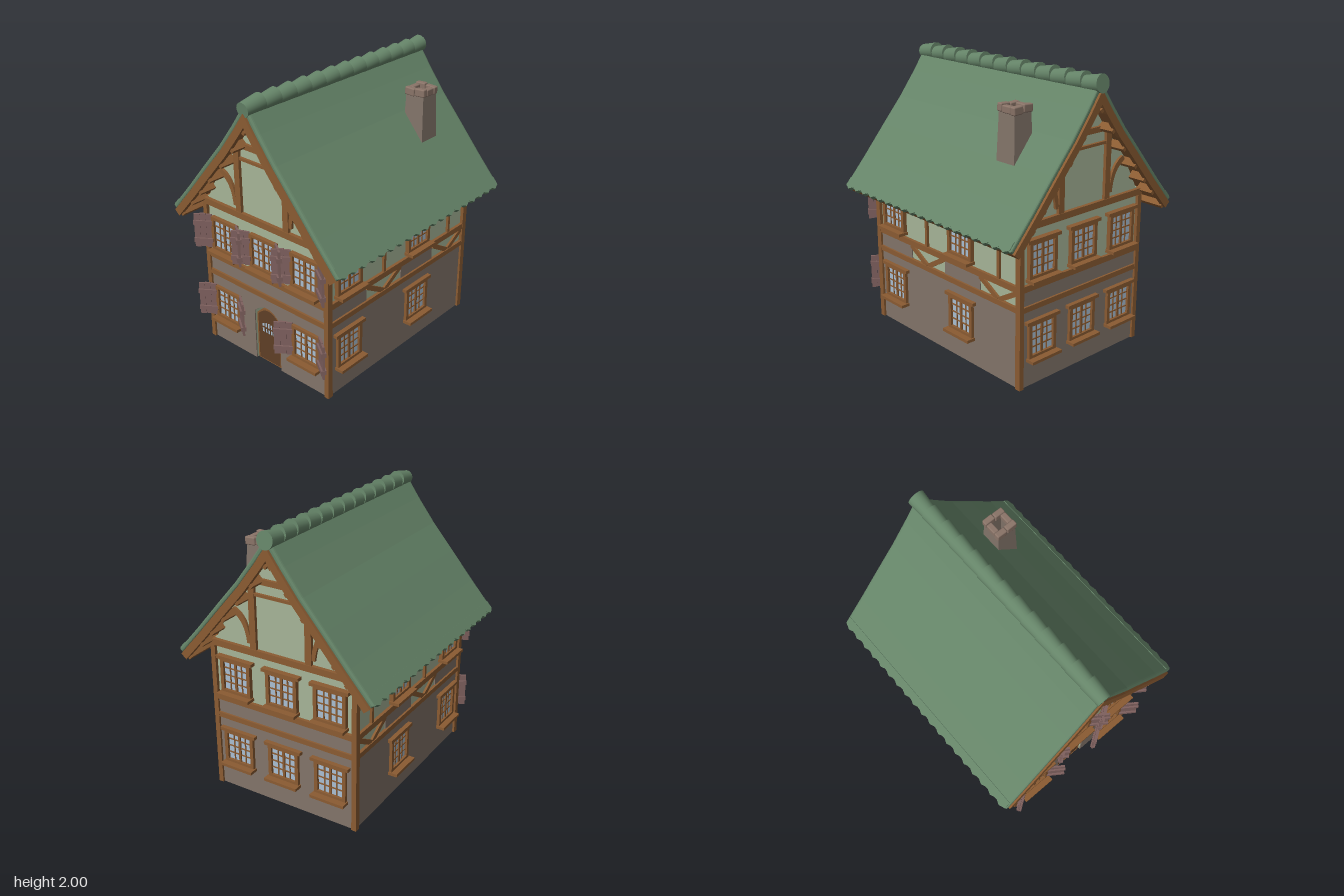
import * as THREE from 'three';
import { RoundedBoxGeometry } from 'three/addons/geometries/RoundedBoxGeometry.js';

const mat = (name, color, side = THREE.FrontSide) =>
  Object.assign(new THREE.MeshStandardMaterial({ color, side }), { name });
const M = {
  roof: mat('roofGreen', 0x658468),
  plaster: mat('plaster', 0xa6b497),
  stone: mat('stone', 0x827469, THREE.DoubleSide),
  brick: mat('chimneyBrick', 0x8a7468),
  wood: mat('timber', 0x8a5b32),
  door: mat('doorWood', 0x5f3f26),
  shutter: mat('shutterWood', 0x7e605e),
  glass: mat('glass', 0xa9bfd2),
};

function add(parent, name, geo, m, x = 0, y = 0, z = 0) {
  const mesh = new THREE.Mesh(geo, m);
  mesh.name = name;
  mesh.position.set(x, y, z);
  parent.add(mesh);
  return mesh;
}
// Box given by its extents
const box = (p, name, m, x0, x1, y0, y1, z0, z1) =>
  add(p, name, new THREE.BoxGeometry(x1 - x0, y1 - y0, z1 - z0), m, (x0 + x1) / 2, (y0 + y1) / 2, (z0 + z1) / 2);
const slab = (shape, depth, opts = {}) =>
  new THREE.ExtrudeGeometry(shape, { depth, bevelEnabled: false, curveSegments: 10, ...opts });

// Right half of the roof outline, ridge to eave
const PROFILE = [[0, 1.96], [0.12, 1.79], [0.25, 1.62], [0.41, 1.435], [0.58, 1.235], [0.753, 1.04]]
  .map(([x, y]) => new THREE.Vector2(x, y));

// The outline moved inwards by d
function inset(d) {
  return PROFILE.map((p, i) => {
    if (i === 0) return new THREE.Vector2(0, p.y - d * 1.74);
    const t = PROFILE[Math.min(i + 1, PROFILE.length - 1)].clone().sub(PROFILE[i - 1]).normalize();
    return new THREE.Vector2(p.x + t.y * d, p.y - t.x * d);
  });
}
const mirrored = (pts) => [...pts.slice(1).reverse().map((p) => new THREE.Vector2(-p.x, p.y)), ...pts];
// Roof layer between two depths, over both slopes
const chevron = (d0, d1) => new THREE.Shape([...mirrored(inset(d0)), ...mirrored(inset(d1)).reverse()]);

// Point and slope angle on the roof outline at a given x
function roofAt(x) {
  const i = Math.max(1, PROFILE.findIndex((p) => p.x >= x));
  const a = PROFILE[i - 1], b = PROFILE[i];
  const t = (x - a.x) / (b.x - a.x);
  return { y: a.y + (b.y - a.y) * t, angle: Math.atan2(b.y - a.y, b.x - a.x) };
}

// Gable wall outline, optionally with the door arch cut out
function wallShape(w, top, withDoor, gable) {
  const s = new THREE.Shape().moveTo(-w, 0);
  if (withDoor) s.lineTo(-0.12, 0).lineTo(-0.12, 0.39).quadraticCurveTo(0, 0.525, 0.12, 0.39).lineTo(0.12, 0);
  s.lineTo(w, 0).lineTo(w, top);
  if (gable) {
    const pts = mirrored(inset(0.045).filter((p) => p.x < w)).reverse();
    pts.forEach((p) => s.lineTo(p.x, p.y));
  }
  s.lineTo(-w, top);
  return s;
}

function makeShutter(side) {
  const g = new THREE.Group();
  g.name = 'shutter';
  for (let i = 0; i < 3; i++) {
    const x = side * (0.021 + i * 0.042), j = i === 1 ? 0.005 : 0;
    box(g, 'shutterPlank', M.shutter, x - 0.0205, x + 0.0205, 0.01 + j, 0.262 + j, 0, 0.014);
  }
  for (const y of [0.065, 0.2])
    box(g, 'shutterBatten', M.shutter, side * 0.063 - 0.066, side * 0.063 + 0.066, y - 0.016, y + 0.016, -0.01, 0.026);
  g.position.set(side * 0.123, 0, 0.015);
  g.rotation.y = -side * 0.6;
  return g;
}

// Window on a facade; y is the top of the sill
function addWindow(wall, x, y, shutters) {
  const g = new THREE.Group();
  g.name = 'window';
  g.position.set(x, y, 0);
  box(g, 'pane', M.glass, -0.1, 0.1, 0.02, 0.235, -0.046, 0.012);
  for (const s of [-1, 1]) {
    box(g, 'windowJamb', M.wood, s * 0.108 - 0.013, s * 0.108 + 0.013, 0, 0.25, -0.055, 0.03);
    box(g, 'mullion', M.wood, s * 0.047 - 0.004, s * 0.047 + 0.004, 0.02, 0.235, -0.05, 0.018);
  }
  box(g, 'mullion', M.wood, -0.009, 0.009, 0.02, 0.235, -0.052, 0.022);
  for (const h of [0.075, 0.128, 0.181])
    box(g, 'glazingBar', M.wood, -0.097, 0.097, h - 0.004, h + 0.004, -0.05, 0.018);
  box(g, 'windowHead', M.wood, -0.12, 0.12, 0.228, 0.25, -0.055, 0.03);
  box(g, 'windowRail', M.wood, -0.12, 0.12, 0, 0.022, -0.055, 0.03);
  box(g, 'sill', M.wood, -0.13, 0.13, -0.018, 0.003, -0.06, 0.075);
  if (shutters) g.add(makeShutter(-1), makeShutter(1));
  else box(g, 'lintel', M.wood, -0.145, 0.145, 0.245, 0.268, -0.02, 0.04);
  wall.add(g);
}

// Facade whose local z = 0 is the outer plaster surface
function facade(root, name, turn, dist) {
  const g = new THREE.Group();
  g.name = name;
  g.rotation.y = turn;
  g.position.set(Math.sin(turn) * dist, 0, Math.cos(turn) * dist);
  root.add(g);
  return g;
}

function floorBeams(g, w) {
  box(g, 'upperFloorBeam', M.wood, -w, w, 0.674, 0.716, -0.05, 0.022);
  box(g, 'lowerFloorBeam', M.wood, -w, w, 0.536, 0.573, -0.05, 0.022);
}

function gableWall(root, name, turn, isFront) {
  const g = facade(root, name, turn, 0.74);
  add(g, 'plasterWall', slab(wallShape(0.545, 1.1, isFront, true), 0.04), M.plaster, 0, 0, -0.04);
  add(g, 'stoneFacing', slab(wallShape(0.54, 0.54, isFront, false), 0.008), M.stone);
  box(g, 'stoneBand', M.stone, -0.54, 0.54, 0.57, 0.68, 0, 0.008);
  floorBeams(g, 0.56);
  box(g, 'gableBeam', M.wood, -0.568, 0.568, 1.08, 1.125, -0.05, 0.026);
  // Timbers inside the gable
  box(g, 'collarBeam', M.wood, -0.19, 0.19, 1.503, 1.522, 0, 0.02);
  box(g, 'upperCollar', M.wood, -0.15, 0.15, 1.59, 1.628, 0, 0.022);
  box(g, 'kingPost', M.wood, -0.01, 0.01, 1.62, 1.86, 0, 0.018);
  for (const s of [-1, 1]) {
    box(g, 'gablePost', M.wood, s * 0.213 - 0.024, s * 0.213 + 0.024, 1.12, 1.58, 0, 0.022);
    const brace = new THREE.Shape().moveTo(s * 0.235, 1.16)
      .quadraticCurveTo(s * 0.245, 1.35, s * 0.36, 1.39)
      .lineTo(s * 0.385, 1.36).quadraticCurveTo(s * 0.275, 1.32, s * 0.262, 1.16);
    add(g, 'curvedBrace', slab(brace, 0.018), M.wood);
  }
  for (const x of [-0.37, 0, 0.37]) {
    addWindow(g, x, 0.75, isFront);
    if (!isFront || x) addWindow(g, x, 0.2, isFront);
  }
  return g;
}

function sideWall(root, name, s) {
  const g = facade(root, name, s * Math.PI / 2, 0.545);
  const at = (z) => -s * z;
  box(g, 'plasterWall', M.plaster, -0.735, 0.735, 0, 1.13, -0.04, 0);
  box(g, 'stoneFacing', M.stone, -0.735, 0.735, 0, 0.54, 0, 0.008);
  floorBeams(g, 0.75);
  box(g, 'wallPlate', M.wood, -0.75, 0.75, 1.08, 1.12, -0.05, 0.022);
  for (const z of [0.545, -0.185])
    box(g, 'stoneBand', M.stone, at(z) - 0.18, at(z) + 0.18, 0.57, 0.68, 0, 0.008);
  for (const z of [0.185, -0.55]) {
    box(g, 'wallPost', M.wood, at(z) - 0.011, at(z) + 0.011, 0.71, 1.1, 0, 0.018);
    for (const t of [-1, 1]) {
      const bar = add(g, 'diagonalBrace', new THREE.BoxGeometry(0.2, 0.034, 0.016), M.wood, at(z) + t * 0.093, 0.622, 0.008);
      bar.rotation.z = t * 0.53;
    }
  }
  for (const z of [0.55, -0.18]) for (const y of [0.2, 0.75]) addWindow(g, at(z), y, false);
}

function addDoor(front) {
  const g = new THREE.Group();
  g.name = 'door';
  const arch = (w, base, spring, top) => new THREE.Shape().moveTo(-w, base).lineTo(w, base)
    .lineTo(w, spring).quadraticCurveTo(0, 2 * top - spring, -w, spring);
  const frame = arch(0.111, 0.006, 0.375, 0.438);
  frame.holes.push(arch(0.1, 0.0065, 0.37, 0.426));
  add(g, 'doorLeaf', slab(arch(0.104, 0.006, 0.372, 0.43), 0.025), M.door, 0, 0, -0.035);
  add(g, 'doorFrame', slab(frame, 0.03), M.wood, 0, 0, -0.036);
  add(g, 'doorPane', slab(arch(0.063, 0.242, 0.305, 0.32), 0.033), M.glass, 0, 0, -0.039);
  for (const x of [-0.037, -0.0125, 0.0125, 0.037]) box(g, 'doorBar', M.door, x - 0.004, x + 0.004, 0.24, 0.322, -0.042, -0.003);
  box(g, 'doorBar', M.door, -0.064, 0.064, 0.276, 0.286, -0.042, -0.003);
  front.add(g);
}

function addRoof(root) {
  const g = new THREE.Group();
  g.name = 'roof';
  root.add(g);
  add(g, 'roofTiles', slab(chevron(0, 0.036), 1.7, { bevelEnabled: true, bevelThickness: 0.02, bevelSize: 0.012, bevelOffset: -0.012, bevelSegments: 3 }), M.roof, 0, 0, -0.85);
  add(g, 'roofDeck', slab(chevron(0.034, 0.052), 1.72), M.wood, 0, 0, -0.86);
  for (const z of [-0.88, 0.845]) add(g, 'bargeboard', slab(chevron(0.036, 0.088), 0.035), M.wood, 0, 0, z);

  // Pointed tile ends along the eave
  const tips = new THREE.Shape().moveTo(-0.86, -0.06).lineTo(-0.86, 0);
  const n = 19, step = 1.72 / n;
  for (let i = 0; i < n; i++)
    tips.lineTo(-0.86 + (i + 0.5) * step, 0.024).lineTo(-0.86 + (i + 1) * step, 0);
  tips.lineTo(0.86, -0.06);
  const eave = roofAt(0.75);
  for (const s of [-1, 1]) {
    const side = new THREE.Group();
    side.name = 'roofEdge';
    side.rotation.y = s > 0 ? 0 : Math.PI;
    g.add(side);
    // Shape x runs along z, shape y down the slope, depth along the normal
    const c = Math.cos(eave.angle), d = Math.sin(eave.angle);
    const geo = slab(tips, 0.03);
    geo.applyMatrix4(new THREE.Matrix4().makeBasis(
      new THREE.Vector3(0, 0, 1), new THREE.Vector3(c, d, 0), new THREE.Vector3(-d, c, 0)));
    add(side, 'eaveTiles', geo, M.roof, 0.727, 1.029, 0);
    const fascia = add(side, 'fascia', new THREE.BoxGeometry(0.03, 0.045, 1.72), M.wood, 0.682, 1.0, 0);
    fascia.rotation.z = eave.angle;
    // Purlin ends carrying the gable overhang
    for (const x of [0.1, 0.21, 0.32, 0.44, 0.54, 0.63]) {
      const { y, angle } = roofAt(x);
      for (const z of [-0.8, 0.8]) {
        const p = add(side, 'purlin', new THREE.BoxGeometry(0.026, 0.06, 0.13), M.wood,
          x + Math.sin(angle) * 0.08, y - Math.cos(angle) * 0.08, z);
        p.rotation.z = angle;
      }
    }
  }
  // Overlapping ridge caps
  const cap = new THREE.CylinderGeometry(0.05, 0.06, 0.15, 18).rotateX(Math.PI / 2);
  for (let i = 0; i < 13; i++)
    add(g, 'ridgeCap', cap, M.roof, 0, 1.928, 0.805 - i * 0.1342).rotation.x = 0.12;
}

function addChimney(root) {
  const g = new THREE.Group();
  g.name = 'chimney';
  g.position.set(0.334, 0, -0.46);
  root.add(g);
  const shaft = new THREE.CylinderGeometry(0.1, 0.121, 0.42, 4, 1, true).rotateY(Math.PI / 4).toNonIndexed();
  shaft.computeVertexNormals();
  add(g, 'chimneyShaft', shaft, M.stone, 0, 1.55, 0);
  for (const s of [-1, 1]) {
    for (const t of [-1, 1])
      add(g, 'capStone', new RoundedBoxGeometry(0.079, 0.055, 0.042, 2, 0.009), M.brick, t * 0.041, 1.77 + s * t * 0.003, s * 0.06)
        .rotation.z = s * t * 0.05;
    add(g, 'capStone', new RoundedBoxGeometry(0.042, 0.05, 0.078, 2, 0.009), M.brick, s * 0.058, 1.767, 0);
  }
}

export function createModel() {
  const root = new THREE.Group();
  root.name = 'timberHouse';
  const front = gableWall(root, 'frontWall', 0, true);
  addDoor(front);
  gableWall(root, 'backWall', Math.PI, false);
  sideWall(root, 'rightWall', 1);
  sideWall(root, 'leftWall', -1);
  for (const x of [-0.551, 0.551]) for (const z of [-0.742, 0.742])
    box(root, 'cornerPost', M.wood, x - 0.018, x + 0.018, 0, 1.1, z - 0.021, z + 0.021);
  addRoof(root);
  addChimney(root);
  return root;
}
